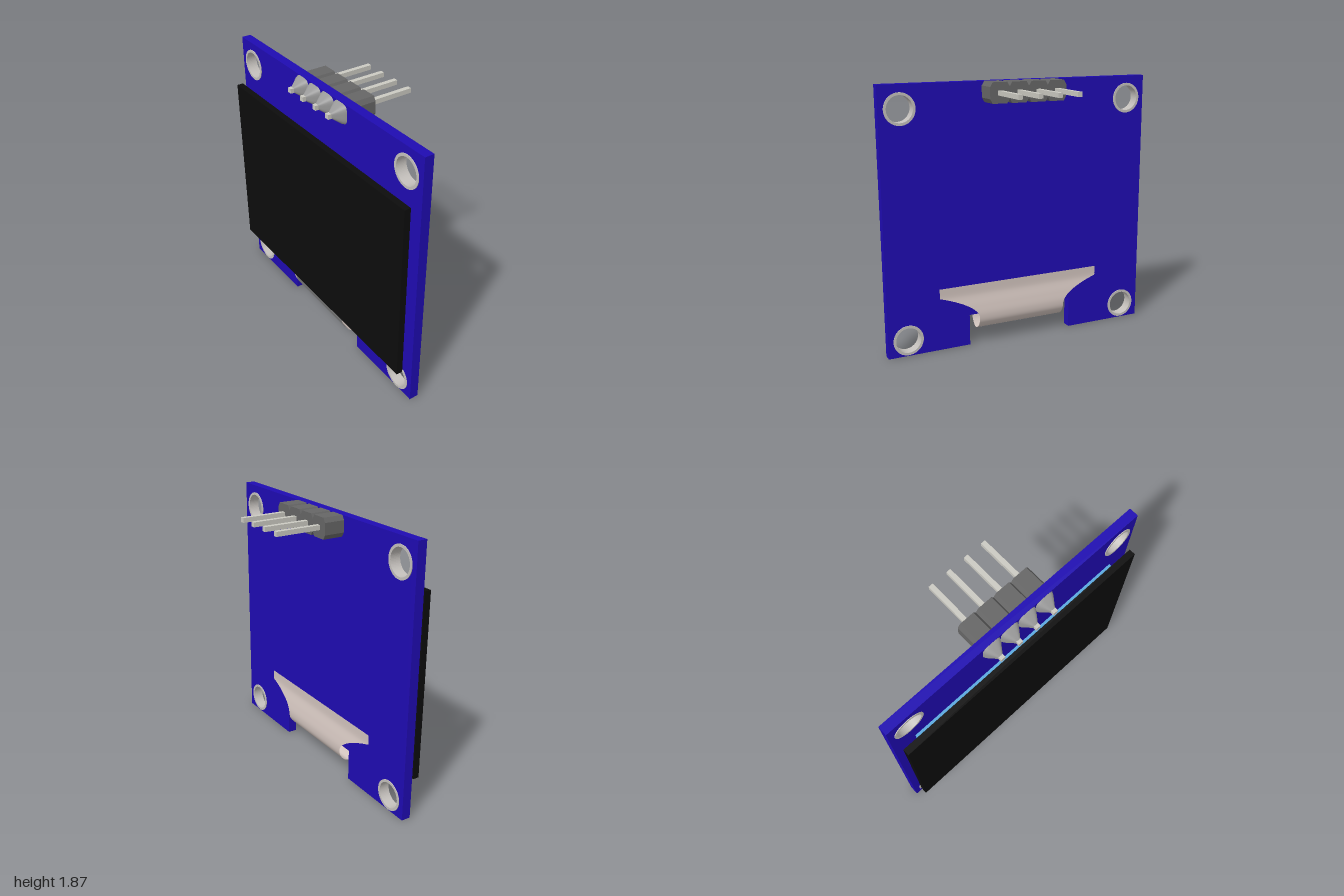
import * as THREE from 'three';

const mat = (color, extra = {}) => new THREE.MeshStandardMaterial({ color, ...extra });

export function createModel() {
  const model = new THREE.Group();
  const add = (name, geometry, material, x = 0, y = 0, z = 0) => {
    const mesh = new THREE.Mesh(geometry, material);
    mesh.name = name;
    mesh.position.set(x, y, z);
    model.add(mesh);
    return mesh;
  };
  const box = (name, w, h, z0, z1, material, x, y) =>
    add(name, new THREE.BoxGeometry(w, h, z1 - z0), material, x, y, (z0 + z1) / 2);
  const extrude = (shape, depth, curveSegments = 24) =>
    new THREE.ExtrudeGeometry(shape, { depth, bevelEnabled: false, curveSegments });
  const polygon = pts => new THREE.Shape(pts.map(p => new THREE.Vector2(...p)));

  // Circuit board with a notch in the lower edge and four mounting holes
  const board = polygon([[-1, 0], [-0.4, 0], [-0.4, 0.225], [0.4, 0.225], [0.4, 0], [1, 0], [1, 1.87], [-1, 1.87]]);
  const ring = new THREE.Shape().absarc(0, 0, 0.108, 0, Math.PI * 2);
  ring.holes.push(new THREE.Path().absarc(0, 0, 0.09, 0, Math.PI * 2, true));
  const ringGeometry = extrude(ring, 0.075, 32);
  const ringMaterial = mat(0xc4c0bc);
  for (const x of [-0.855, 0.855]) {
    for (const y of [0.115, 1.71]) {
      board.holes.push(new THREE.Path().absarc(x, y, 0.1, 0, Math.PI * 2, true));
      add('mountingRing', ringGeometry, ringMaterial, x, y, 0.145);
    }
  }
  add('circuitBoard', extrude(board, 0.065), mat(0x1f0bb2), 0, 0, 0.15);

  // Display glass on its adhesive pad
  box('displayGlass', 1.92, 1.285, 0.26, 0.305, mat(0x0c0c0c), 0, 0.8975);
  box('adhesivePad', 1.68, 0.84, 0.215, 0.26, mat(0x5aa9e0), 0, 1.01);

  // Ribbon cable: a sheet swept along a side profile, flaring out at the back
  const profile = new THREE.CatmullRomCurve3([
    [0.276, 0.27], [0.272, 0.2], [0.25, 0.14], [0.205, 0.105], [0.155, 0.125],
    [0.122, 0.17], [0.115, 0.225], [0.127, 0.295], [0.145, 0.365], [0.148, 0.39], [0.148, 0.45],
  ].map(([z, y]) => new THREE.Vector3(0, y, z)));
  const sheet = (t0, t1, offset, halfWidth) => {
    const rows = 64;
    const geometry = new THREE.PlaneGeometry(1, 1, 1, rows);
    const pos = geometry.attributes.position;
    for (let i = 0; i <= rows; i++) {
      const t = t0 + (t1 - t0) * i / rows;
      const p = profile.getPoint(t), d = profile.getTangent(t);
      const w = halfWidth(t, p.y);
      // push outwards from the loop along the profile normal
      const y = p.y + d.z * offset, z = p.z - d.y * offset;
      pos.setXYZ(i * 2, -w, y, z);
      pos.setXYZ(i * 2 + 1, w, y, z);
    }
    geometry.computeVertexNormals();
    return geometry;
  };
  const flare = (t, y) => {
    if (t < 0.5) return 0.335;
    const k = THREE.MathUtils.clamp((y - 0.2) / 0.18, 0, 1);
    return 0.335 + 0.285 * Math.pow(k, 2.1);
  };
  add('ribbonCable', sheet(0, 1, 0, flare), mat(0xd2c4be, { side: THREE.DoubleSide }));
  add('ribbonStrip', sheet(0, 0.31, 0.004, () => 0.3), mat(0x808080, { side: THREE.DoubleSide }));

  // Solder joint: rounded-square sections tapering onto the pin
  const solderGeometry = () => {
    const sides = 32;
    const sections = [[0, 0.068], [0.018, 0.06], [0.075, 0.018], [0.08, 0.014]];
    const vertices = [], indices = [];
    sections.forEach(([z, r], j) => {
      for (let i = 0; i < sides; i++) {
        const a = i / sides * Math.PI * 2, c = Math.cos(a), s = Math.sin(a);
        const k = r / Math.pow(c ** 4 + s ** 4, 0.25);
        vertices.push(c * k, s * k, z);
        if (j === 0) continue;
        const n = (i + 1) % sides, lo = (j - 1) * sides, hi = j * sides;
        indices.push(lo + i, lo + n, hi + n, lo + i, hi + n, hi + i);
      }
    });
    const geometry = new THREE.BufferGeometry();
    geometry.setAttribute('position', new THREE.Float32BufferAttribute(vertices, 3));
    geometry.setIndex(indices);
    geometry.computeVertexNormals();
    return geometry;
  };

  // Four-pin header: chamfered housings, square pins, solder joints
  const h = 0.0705, c = 0.04;
  const housing = extrude(polygon([[-h + 0.018, -h], [h - 0.018, -h], [h, -c], [h, c],
    [h - 0.018, h], [-h + 0.018, h], [-h, c], [-h, -c]]), 0.145);
  const solder = solderGeometry();
  const housingMaterial = mat(0x666666), solderMaterial = mat(0x999999), pinMaterial = mat(0xcbcac2);
  for (let i = 0; i < 4; i++) {
    const x = (i - 1.5) * 0.141;
    add('pinHousing', housing, housingMaterial, x, 1.8, 0.005);
    add('solderJoint', solder, solderMaterial, x, 1.8, 0.215);
    box('headerPin', 0.032, 0.032, -0.315, 0.315, pinMaterial, x, 1.8);
  }
  return model;
}
